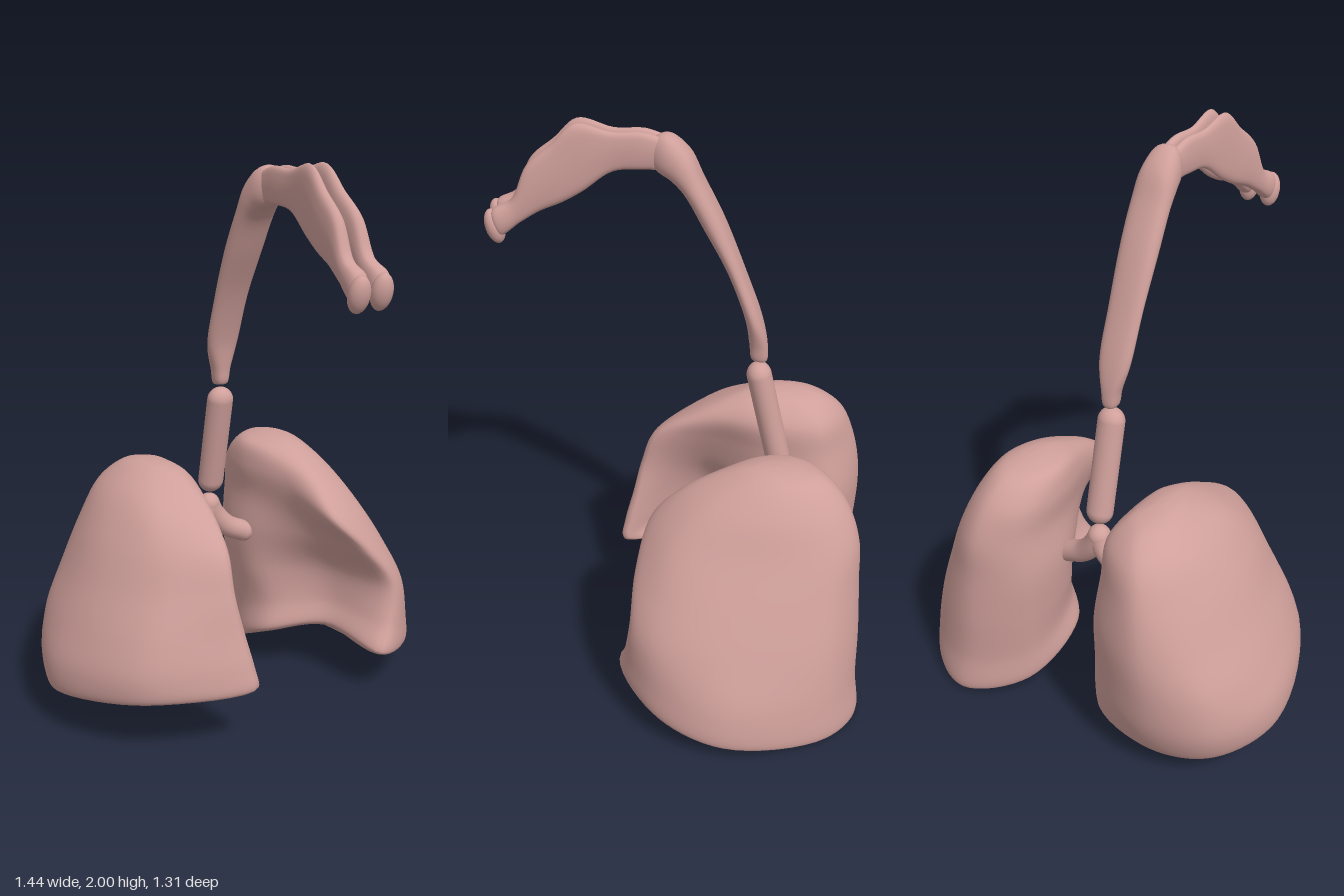
import * as THREE from 'three';
import { mergeVertices } from 'three/addons/utils/BufferGeometryUtils.js';

const V = (x, y, z) => new THREE.Vector3(x, y, z);
const material = new THREE.MeshStandardMaterial({ color: 0xd0a09b, side: THREE.DoubleSide });

// Smooth skin through closed rings of control points, first ring to last
function loft(rings, around, along) {
  const columns = rings.map((ring) => {
    const curve = new THREE.CatmullRomCurve3(ring, true, 'centripetal');
    return Array.from({ length: around }, (_, j) => curve.getPoint(j / around));
  });
  const position = [], index = [];
  for (let j = 0; j < around; j++) {
    const curve = new THREE.CatmullRomCurve3(columns.map((c) => c[j]), false, 'centripetal');
    for (let i = 0; i <= along; i++) position.push(...curve.getPoint(i / along).toArray());
  }
  for (let j = 0; j < around; j++) {
    for (let i = 0; i < along; i++) {
      const a = j * (along + 1) + i, b = ((j + 1) % around) * (along + 1) + i;
      index.push(a, a + 1, b + 1, a, b + 1, b);
    }
  }
  const geometry = new THREE.BufferGeometry();
  geometry.setAttribute('position', new THREE.Float32BufferAttribute(position, 3));
  geometry.setIndex(index);
  const merged = mergeVertices(geometry, 1e-5);
  merged.computeVertexNormals();
  return merged;
}

function addMesh(parent, name, geometry) {
  const mesh = new THREE.Mesh(geometry, material);
  mesh.name = name;
  parent.add(mesh);
  return mesh;
}

// Ring copy shrunk towards its centre, or towards a given point, and lifted
function shrink(ring, s, lift, target) {
  const c = target || ring.reduce((a, p) => a.add(p), V(0, 0, 0)).divideScalar(ring.length);
  return ring.map((p) => p.clone().lerp(c, 1 - s).add(V(0, lift, 0)));
}

// Sections: height, then x,z of back, backOuter, outer, frontOuter, frontTip, hollow, medial, backMedial
const leftSections = [
  [0.10, 0.38, -0.65, 0.58, -0.55, 0.71, -0.2, 0.62, 0.05, 0.4, 0.185, 0.33, -0.08, 0.15, -0.25, 0.18, -0.5],
  [0.22, 0.36, -0.64, 0.57, -0.55, 0.7, -0.2, 0.61, 0.06, 0.45, 0.162, 0.35, -0.09, 0.17, -0.26, 0.17, -0.5],
  [0.38, 0.34, -0.64, 0.54, -0.54, 0.64, -0.2, 0.59, 0.05, 0.475, 0.14, 0.34, -0.09, 0.14, -0.3, 0.16, -0.52],
  [0.55, 0.32, -0.63, 0.48, -0.54, 0.56, -0.22, 0.51, 0.03, 0.37, 0.13, 0.27, -0.06, 0.12, -0.33, 0.15, -0.53],
  [0.70, 0.3, -0.62, 0.42, -0.54, 0.48, -0.25, 0.42, 0, 0.25, 0.085, 0.2, -0.1, 0.13, -0.35, 0.16, -0.53],
  [0.82, 0.28, -0.57, 0.37, -0.5, 0.42, -0.3, 0.36, -0.1, 0.24, -0.03, 0.17, -0.16, 0.12, -0.36, 0.16, -0.51],
  [0.90, 0.26, -0.49, 0.32, -0.45, 0.35, -0.34, 0.31, -0.22, 0.24, -0.18, 0.17, -0.24, 0.14, -0.36, 0.18, -0.45],
];
const rightSections = [
  [0.16, 0.4, -0.56, 0.61, -0.48, 0.715, -0.25, 0.55, 0.13, 0.19, 0.26, 0.36, -0.03, 0.14, -0.3, 0.14, -0.5],
  [0.26, 0.4, -0.61, 0.63, -0.52, 0.72, -0.25, 0.56, 0.13, 0.2, 0.25, 0.36, -0.05, 0.12, -0.3, 0.14, -0.52],
  [0.40, 0.4, -0.63, 0.61, -0.53, 0.67, -0.24, 0.53, 0.11, 0.22, 0.22, 0.33, -0.05, 0.13, -0.32, 0.15, -0.53],
  [0.55, 0.38, -0.63, 0.54, -0.53, 0.6, -0.23, 0.47, 0.08, 0.24, 0.19, 0.27, -0.05, 0.14, -0.33, 0.15, -0.53],
  [0.70, 0.36, -0.6, 0.48, -0.5, 0.53, -0.25, 0.43, 0.02, 0.24, 0.14, 0.21, -0.1, 0.14, -0.33, 0.16, -0.5],
  [0.82, 0.33, -0.55, 0.42, -0.47, 0.45, -0.28, 0.39, -0.09, 0.23, -0.02, 0.17, -0.15, 0.14, -0.33, 0.17, -0.48],
  [0.89, 0.29, -0.47, 0.35, -0.43, 0.37, -0.32, 0.33, -0.2, 0.25, -0.15, 0.2, -0.2, 0.19, -0.33, 0.21, -0.42],
];
// Height changes of the lower rim, in the same order
const leftRim = [-0.015, -0.015, -0.03, -0.025, 0, 0.09, 0.07, 0];
const rightRim = [-0.02, -0.015, -0.005, 0, 0, 0.12, 0.02, -0.01];

// side is +1 or -1; the rim tilts up to the front and its shape fades upward
function lung(sections, rim, apex, side, tilt) {
  const rings = sections.map(([y, ...p], level) => {
    const fade = (1 - level / (sections.length - 1)) ** 2;
    const ring = rim.map((lift, k) => {
      const [x, z] = [p[2 * k], p[2 * k + 1]];
      return V(x * side, y + fade * (tilt * (z + 0.25) + lift), z);
    });
    return side > 0 ? ring : ring.reverse();
  });
  const base = rings[0], top = rings[rings.length - 1];
  const tip = V(apex[0] * side, apex[1], apex[2]);
  const crown = shrink(top, 0.5, 0, tip).map((p) => p.setY(tip.y - 0.007));
  return loft([
    shrink(base, 0, 0.02), shrink(base, 0.5, 0.012), shrink(base, 0.93, -0.012),
    ...rings, crown, shrink(top, 0, 0, tip),
  ], 64, 72);
}

// Airway stations: x, half width, z and y of the upper edge, z and y of the lower edge
function airway(stations) {
  const rings = stations.map(([x, w, z1, y1, z2, y2]) =>
    Array.from({ length: 12 }, (_, k) => {
      const a = (k / 12) * Math.PI * 2, c = Math.cos(a) / 2, s = Math.sin(a);
      const across = w * Math.sign(s) * Math.abs(s) ** 0.7;
      return V(x + across, (y1 + y2) / 2 + c * (y1 - y2), (z1 + z2) / 2 + c * (z1 - z2));
    }));
  const first = rings[0], last = rings[rings.length - 1];
  return loft([shrink(first, 0, 0), ...rings, shrink(last, 0, 0)], 36, 60);
}

export function createModel() {
  const model = new THREE.Group();
  model.name = 'respiratorySystem';

  addMesh(model, 'leftLung', lung(leftSections, leftRim, [0.25, 0.93, -0.33], 1, 0.18));
  addMesh(model, 'rightLung', lung(rightSections, rightRim, [0.28, 0.92, -0.3], -1, 0.16));

  // Windpipe
  const trachea = addMesh(model, 'trachea', new THREE.CapsuleGeometry(0.048, 0.33, 10, 28));
  trachea.position.set(-0.025, 0.955, -0.288);
  trachea.rotation.x = 0.22;
  trachea.scale.z = 0.9;

  // Forked main airways with rounded ends
  const bronchi = new THREE.Group();
  bronchi.name = 'bronchi';
  model.add(bronchi);
  const fork = V(-0.028, 0.695, -0.335);
  const branches = {
    right: [fork, V(-0.045, 0.655, -0.335), V(-0.08, 0.615, -0.335), V(-0.112, 0.59, -0.335)],
    left: [fork, V(-0.005, 0.65, -0.335), V(0.045, 0.595, -0.33), V(0.115, 0.56, -0.325)],
  };
  for (const [side, points] of Object.entries(branches)) {
    addMesh(bronchi, side + 'Bronchus',
      new THREE.TubeGeometry(new THREE.CatmullRomCurve3(points), 24, 0.04, 18));
    addMesh(bronchi, side + 'BronchusEnd', new THREE.SphereGeometry(0.04, 18, 12)).position.copy(points[3]);
  }
  addMesh(bronchi, 'forkTop', new THREE.SphereGeometry(0.041, 18, 12)).position.copy(fork);

  // Throat, rising and curving forward
  addMesh(model, 'pharynx', airway([
    [-0.025, 0.022, -0.275, 1.175, -0.225, 1.18],
    [-0.025, 0.035, -0.278, 1.23, -0.215, 1.24],
    [-0.027, 0.058, -0.26, 1.32, -0.2, 1.335],
    [-0.028, 0.064, -0.2, 1.49, -0.138, 1.51],
    [-0.025, 0.07, -0.125, 1.685, -0.058, 1.665],
    [-0.022, 0.07, -0.06, 1.82, 0.008, 1.785],
    [-0.022, 0.066, -0.012, 1.92, 0.05, 1.825],
    [-0.022, 0.052, 0.055, 1.972, 0.085, 1.845],
    [-0.022, 0.025, 0.1, 1.955, 0.11, 1.875],
  ]));

  // Paired nasal passages ending in nostrils
  for (const side of [-1, 1]) {
    const name = side > 0 ? 'left' : 'right';
    const offsets = [0.016, 0.02, 0.022, 0.028, 0.032, 0.036, 0.039, 0.041];
    const passage = [
      [0.016, 0.03, 1.93, 0.04, 1.86],
      [0.02, 0.12, 1.975, 0.13, 1.855],
      [0.017, 0.23, 1.975, 0.23, 1.845],
      [0.021, 0.345, 2.0, 0.33, 1.775],
      [0.025, 0.425, 1.93, 0.4, 1.735],
      [0.027, 0.505, 1.86, 0.47, 1.705],
      [0.028, 0.56, 1.745, 0.535, 1.665],
      [0.031, 0.625, 1.705, 0.6, 1.62],
    ].map(([w, ...edge], i) => [-0.026 + side * offsets[i], w, ...edge]);
    addMesh(model, name + 'NasalPassage', airway(passage));
    const nostril = addMesh(model, name + 'Nostril', new THREE.SphereGeometry(1, 24, 16));
    nostril.scale.set(0.037, 0.06, 0.031);
    nostril.position.set(-0.03 + side * 0.042, 1.647, 0.621);
    nostril.rotation.x = 0.25;
  }
  return model;
}
